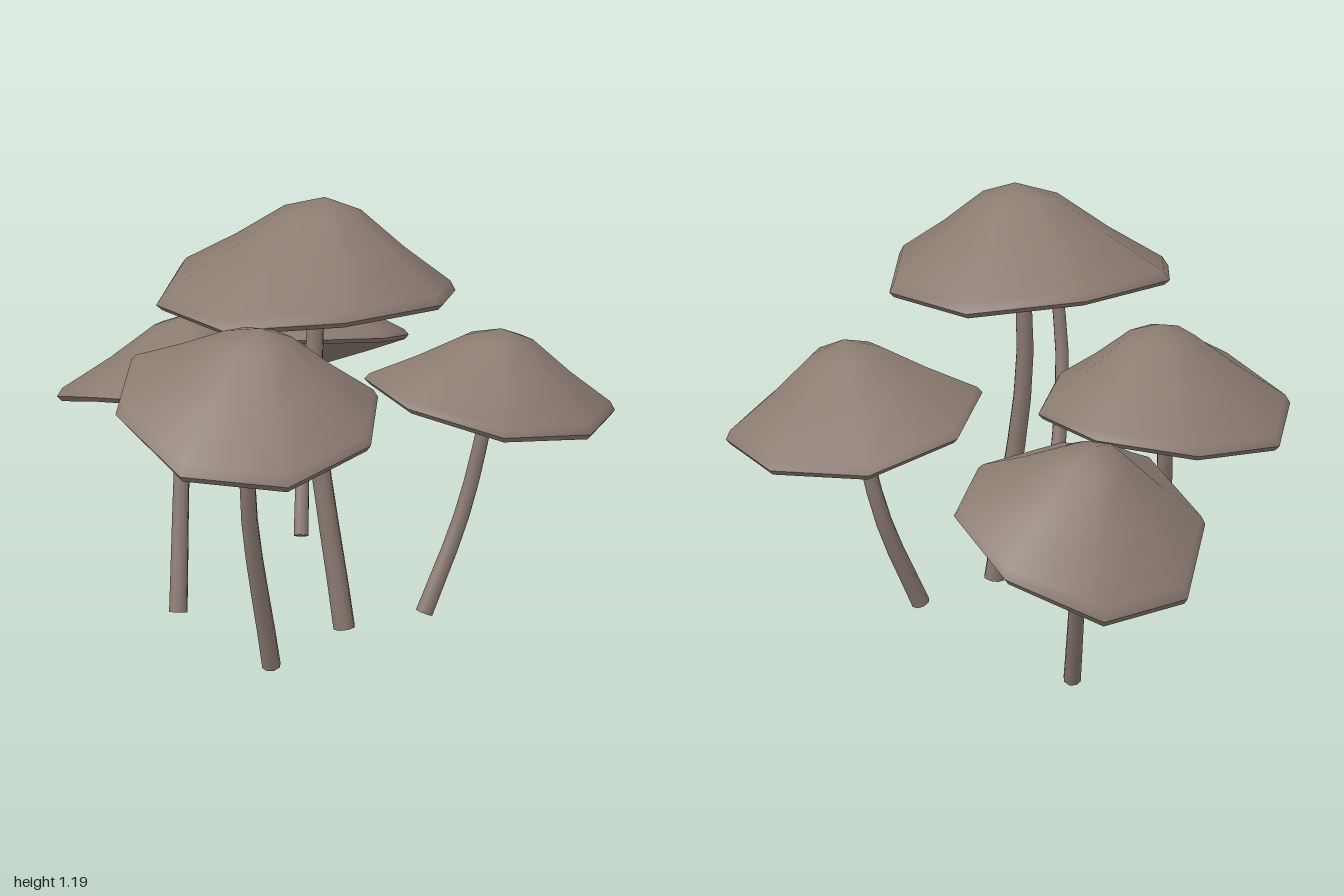
import * as THREE from 'three';
import { mergeVertices } from 'three/addons/utils/BufferGeometryUtils.js';

// Each mushroom: cap centre (x, z), rim radius and turn in degrees, apex, stem base and bend.
// wave holds the rim height as mean, tilt (cos, sin) and warp (cos 2, sin 2) around the rim.
const mushrooms = [
  {
    name: 'tallMushroom', centre: [0.03, 0.13], radius: 0.405, turn: 4, apex: [0.07, 1.19, 0.11],
    wave: [0.937, -0.006, -0.004, 0.019, 0.016], base: [0.15, 0.025, 0.15], bend: [0.055, 0.68, 0.145],
  },
  {
    name: 'frontMushroom', centre: [0.145, 0.66], radius: 0.335, turn: 0, apex: [0.17, 0.965, 0.65],
    wave: [0.759, -0.069, -0.062, 0.021, -0.01], base: [0.095, 0.012, 0.46], bend: [0.12, 0.55, 0.625],
  },
  {
    name: 'rightMushroom', centre: [0.385, -0.265], radius: 0.345, turn: 15, apex: [0.43, 0.805, -0.23],
    wave: [0.587, -0.025, 0.044, -0.004, -0.02], base: [0.28, 0.016, -0.08], bend: [0.35, 0.3, -0.18],
  },
  {
    name: 'backMushroom', centre: [-0.41, -0.695], radius: 0.31, turn: 15, apex: [-0.45, 0.755, -0.7],
    wave: [0.5475, 0.102, 0.062, -0.018, -0.013], base: [-0.31, 0.035, -0.47], bend: [-0.395, 0.45, -0.645],
  },
  {
    name: 'leftMushroom', centre: [-0.37, 0.095], radius: 0.35, turn: 13, apex: [-0.34, 0.835, 0.11],
    wave: [0.616, 0.033, 0.026, -0.02, 0.01], base: [-0.31, 0.025, 0.25], bend: [-0.36, 0.5, 0.125],
  },
];

// Eight rim corners, clockwise seen from above
function rimCorners({ centre, radius, turn, wave }) {
  const [mean, c1, s1, c2, s2] = wave;
  return Array.from({ length: 8 }, (_, i) => {
    const a = (i * Math.PI) / 4, b = a + THREE.MathUtils.degToRad(turn);
    const y = mean + c1 * Math.cos(a) + s1 * Math.sin(a) + c2 * Math.cos(2 * a) + s2 * Math.sin(2 * a);
    return new THREE.Vector3(centre[0] + radius * Math.cos(b), y, centre[1] + radius * Math.sin(b));
  });
}

// Smooth skin over closed rows of points
function loft(rows) {
  const pos = [], n = rows[0].length;
  const tri = (a, b, c) => {
    const area = b.clone().sub(a).cross(c.clone().sub(a)).length();
    if (area > 1e-8) [a, b, c].forEach((p) => pos.push(p.x, p.y, p.z));
  };
  for (let i = 0; i < rows.length - 1; i++) {
    for (let j = 0; j < n; j++) {
      const k = (j + 1) % n, a = rows[i], b = rows[i + 1];
      tri(a[j], b[k], b[j]);
      tri(a[j], a[k], b[k]);
    }
  }
  let geo = new THREE.BufferGeometry();
  geo.setAttribute('position', new THREE.Float32BufferAttribute(pos, 3));
  geo = mergeVertices(geo, 1e-5);
  geo.computeVertexNormals();
  return geo;
}

// Ring part way from the apex to the rim; t is the reach, drop the share of the height lost
const ring = (apex, rim, t, drop, lower = 0) => rim.map((p) => new THREE.Vector3(
  THREE.MathUtils.lerp(apex.x, p.x, t),
  THREE.MathUtils.lerp(apex.y, p.y, drop) - lower,
  THREE.MathUtils.lerp(apex.z, p.z, t),
));

// Tapered tube along the stem path, closed at the base
function stemParts(path, radius, material) {
  const curve = new THREE.CatmullRomCurve3(path);
  const steps = 8, sides = 8;
  const geo = new THREE.TubeGeometry(curve, steps, radius, sides);
  const pos = geo.attributes.position, p = new THREE.Vector3();
  for (let i = 0; i < pos.count; i++) {
    const t = Math.floor(i / (sides + 1)) / steps;
    const centre = curve.getPointAt(t);
    p.fromBufferAttribute(pos, i).sub(centre).multiplyScalar(1 - 0.28 * t).add(centre);
    pos.setXYZ(i, p.x, Math.max(p.y, 0), p.z);
  }
  const stem = new THREE.Mesh(geo, material);
  stem.name = 'stem';
  const base = new THREE.Mesh(new THREE.CircleGeometry(radius, sides), material);
  base.position.copy(curve.getPointAt(0));
  base.quaternion.setFromUnitVectors(new THREE.Vector3(0, 0, 1), curve.getTangentAt(0).negate());
  base.name = 'stemBase';
  return [stem, base];
}

export function createModel() {
  const model = new THREE.Group();
  model.name = 'mushroomCluster';
  const brown = new THREE.MeshStandardMaterial({ color: 0x8a7a70 });
  brown.name = 'mushroomBrown';

  for (const m of mushrooms) {
    const group = new THREE.Group();
    group.name = m.name;
    const apex = new THREE.Vector3(...m.apex), rim = rimCorners(m);

    // Domed upper skin
    const cap = new THREE.Mesh(loft([
      ring(apex, rim, 0, 0),
      ring(apex, rim, 0.27, 0.14),
      ring(apex, rim, 0.6, 0.53),
      ring(apex, rim, 0.96, 0.9),
      rim,
    ]), brown);
    cap.name = 'cap';

    // Thin lip turning under
    const lipEdge = ring(apex, rim, 0.965, 1, 0.014);
    const lip = new THREE.Mesh(loft([rim, lipEdge]), brown);
    lip.name = 'capLip';

    // Hollow underside
    const under = new THREE.Mesh(loft([
      lipEdge,
      ring(apex, rim, 0.58, 0.55, 0.04),
      ring(apex, rim, 0.25, 0.16, 0.045),
      ring(apex, rim, 0, 0, 0.05),
    ]), brown);
    under.name = 'capUnderside';

    // Stem bends once and ends inside the cap
    const path = [
      new THREE.Vector3(...m.base),
      new THREE.Vector3(...m.bend),
      apex.clone().setY(apex.y - 0.06),
    ];
    group.add(cap, lip, under, ...stemParts(path, m.radius * 0.075, brown));
    model.add(group);
  }
  return model;
}
